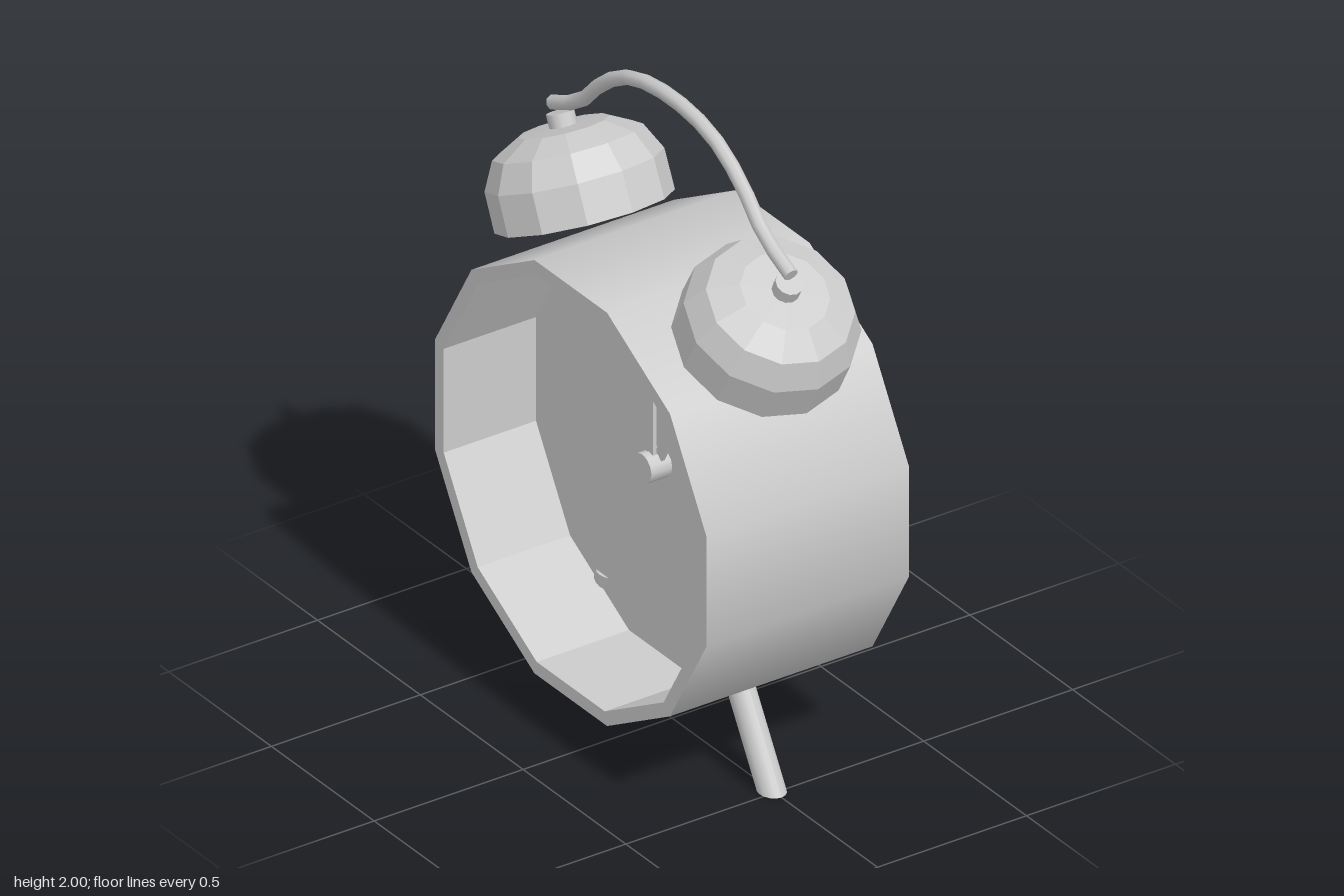
import * as THREE from 'three';

const smooth = new THREE.MeshStandardMaterial({ color: 0xcccccc, side: THREE.DoubleSide });
const flat = new THREE.MeshStandardMaterial({ color: 0xcccccc, flatShading: true, side: THREE.DoubleSide });

function add(parent, name, geometry, material = smooth) {
  const mesh = new THREE.Mesh(geometry, material);
  mesh.name = name;
  parent.add(mesh);
  return mesh;
}

// Twelve-sided drum, built upright and then laid so its open face looks along -x
function createCase() {
  const R = 0.683, r = 0.64, half = 0.34, dialY = 0.03, turn = Math.PI / 12, N = 12;
  const body = new THREE.Group();
  body.name = 'case';
  add(body, 'caseWall', new THREE.CylinderGeometry(R, R, half * 2, N, 1, true, turn));
  add(body, 'backPlate', new THREE.CircleGeometry(R, N, turn).rotateX(Math.PI / 2).translate(0, -half, 0));
  add(body, 'frontRim', new THREE.RingGeometry(r, R, N, 1, turn).rotateX(-Math.PI / 2).translate(0, half, 0));
  add(body, 'innerWall', new THREE.CylinderGeometry(r, r, half - dialY, N, 1, true, turn)
    .translate(0, (half + dialY) / 2, 0), flat);
  add(body, 'dial', new THREE.CircleGeometry(r, N, turn).rotateX(-Math.PI / 2).translate(0, dialY, 0));

  // Hub and two hands
  add(body, 'handHub', new THREE.CylinderGeometry(0.045, 0.045, 0.07, 12).translate(0, dialY + 0.035, 0));
  const hand = (name, length, angle, y) =>
    add(body, name, new THREE.BoxGeometry(length, 0.012, 0.035).translate(length / 2, y, 0), flat)
      .rotation.y = -angle;
  hand('minuteHand', 0.5, 0, 0.07);
  hand('hourHand', 0.43, Math.PI / 6, 0.055);

  body.rotation.z = Math.PI / 2;
  body.position.y = 0.83;
  return body;
}

// Faceted hollow dome with a short stem on top
function createBell(name, y, z, tilt) {
  const bell = new THREE.Group();
  bell.name = name;
  const profile = [
    [0, 0.232], [0.122, 0.228], [0.202, 0.186], [0.24, 0.115], [0.242, 0],
    [0.257, 0], [0.256, 0.12], [0.215, 0.2], [0.13, 0.245], [0, 0.25],
  ].map(([px, py]) => new THREE.Vector2(px, py));
  add(bell, 'bellDome', new THREE.LatheGeometry(profile, 12), flat);
  add(bell, 'bellStem', new THREE.CylinderGeometry(0.04, 0.04, 0.06, 12).translate(0, 0.258, 0));
  bell.position.set(0, y, z);
  bell.rotation.x = tilt;
  return bell;
}

// Slanted round leg, cut level with the ground
function createLeg(side) {
  const height = 0.33, slope = Math.tan(Math.PI / 6);
  const geometry = new THREE.CylinderGeometry(0.04, 0.04, height, 16).translate(0, height / 2, 0);
  const p = geometry.attributes.position;
  for (let i = 0; i < p.count; i++) {
    p.setZ(i, p.getZ(i) * 1.2 + side * (0.485 - slope * p.getY(i)));
  }
  geometry.computeVertexNormals();
  return geometry;
}

// Carrying handle arching from bell to bell
function createHandle() {
  const handle = new THREE.Group();
  handle.name = 'handle';
  const half = [[0.58, 1.69], [0.45, 1.755], [0.33, 1.873], [0.2, 1.95], [0.06, 1.978]];
  const points = [...half, ...half.map(([z, y]) => [-z, y]).reverse()]
    .map(([z, y]) => new THREE.Vector3(0, y, z));
  const curve = new THREE.CatmullRomCurve3(points);
  add(handle, 'handleBar', new THREE.TubeGeometry(curve, 15, 0.022, 8));
  for (const t of [0, 1]) {
    const cap = add(handle, 'handleEnd', new THREE.CircleGeometry(0.022, 8));
    cap.position.copy(curve.getPointAt(t));
    cap.lookAt(cap.position.clone().addScaledVector(curve.getTangentAt(t), t ? 1 : -1));
  }
  return handle;
}

export function createModel() {
  const model = new THREE.Group();
  model.name = 'alarmClock';
  model.add(createCase());
  model.add(createBell('frontBell', 1.41, 0.43, 0.513));
  model.add(createBell('rearBell', 1.415, -0.425, -0.43));
  model.add(createHandle());
  add(model, 'frontLeg', createLeg(1));
  add(model, 'rearLeg', createLeg(-1));
  return model;
}
